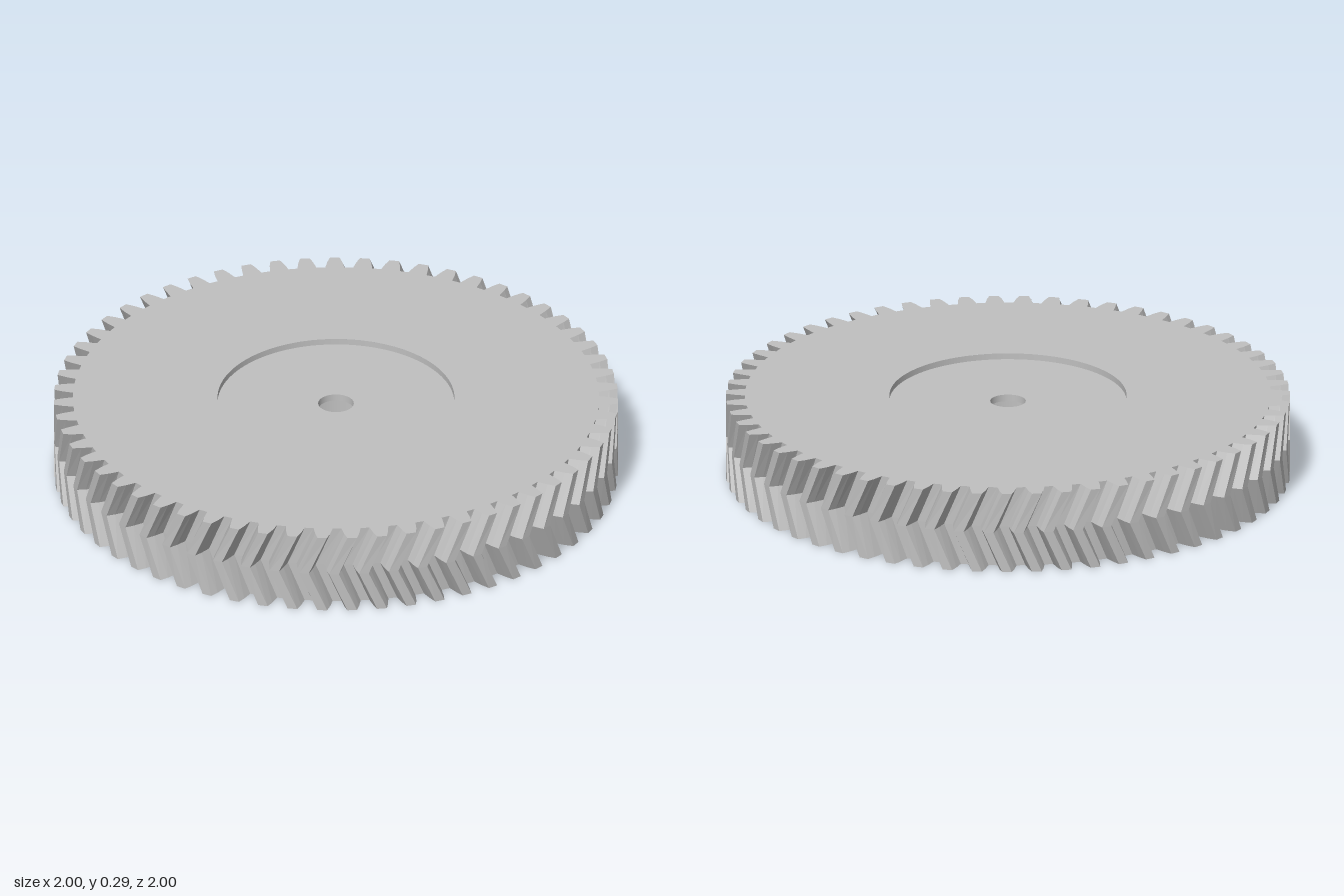
import * as THREE from 'three';

const TEETH = 59, HEIGHT = 0.295, TWIST = 0.065, PHASE = 0.011;

// One tooth gap as [angle from gap centre, radius], followed by the tooth tip
const GAP = [[-0.036, 1], [-0.026, 0.97], [-0.017, 0.932], [0.017, 0.932], [0.026, 0.97], [0.036, 1]];

// Outline of the gear as [x, y] points, counter-clockwise seen from above
function outline(turn) {
  const points = [];
  for (let i = 0; i < TEETH; i++) {
    const centre = PHASE + turn + (i * Math.PI * 2) / TEETH;
    for (const [a, r] of GAP) points.push([r * Math.cos(centre + a), r * Math.sin(centre + a)]);
  }
  return points;
}

// Herringbone flank surface between three twisted outlines
function teethGeometry() {
  const levels = [[0, 0], [HEIGHT / 2, -TWIST], [HEIGHT, 0]]
    .map(([y, turn]) => outline(turn).map(([px, py]) => [px, y, -py]));
  const position = [];
  for (let k = 0; k < 2; k++) {
    const low = levels[k], high = levels[k + 1], n = low.length;
    for (let i = 0; i < n; i++) {
      const j = (i + 1) % n;
      position.push(...low[i], ...low[j], ...high[j], ...low[i], ...high[j], ...high[i]);
    }
  }
  const geometry = new THREE.BufferGeometry();
  geometry.setAttribute('position', new THREE.Float32BufferAttribute(position, 3));
  geometry.computeVertexNormals();
  return geometry;
}

// Flat toothed face with a round opening; side is 1 for top, -1 for bottom
function faceGeometry(side, holeRadius) {
  const shape = new THREE.Shape(outline(0).map(([x, y]) => new THREE.Vector2(x, side * y)));
  shape.holes.push(new THREE.Path().absarc(0, 0, holeRadius, 0, Math.PI * 2, true));
  const geometry = new THREE.ShapeGeometry(shape, 96);
  geometry.rotateX((-side * Math.PI) / 2);
  return geometry;
}

export function createModel() {
  const gear = new THREE.Group();
  gear.name = 'herringboneGear';
  const grey = new THREE.MeshStandardMaterial({ color: 0xc0c0c0 });
  grey.name = 'grey';

  const add = (name, geometry) => {
    const mesh = new THREE.Mesh(geometry, grey);
    mesh.name = name;
    gear.add(mesh);
    return mesh;
  };

  // Toothed body
  add('teeth', teethGeometry());
  add('topFace', faceGeometry(1, 0.42)).position.y = HEIGHT;
  add('bottomFace', faceGeometry(-1, 0.265));

  // Recesses and stepped bore, from the top edge down to the bottom edge
  const profile = [[0.42, HEIGHT], [0.42, 0.273], [0.063, 0.273], [0.063, 0.248],
    [0.14, 0.248], [0.14, 0.072], [0.265, 0.072], [0.265, 0]];
  const names = ['topRecessWall', 'topRecessFloor', 'shaftHole', 'boreLedge',
    'boreWall', 'bottomRecessFloor', 'bottomRecessWall'];
  names.forEach((name, i) => {
    const segment = [profile[i], profile[i + 1]].map(([r, y]) => new THREE.Vector2(r, y));
    add(name, new THREE.LatheGeometry(segment, 96));
  });

  return gear;
}
